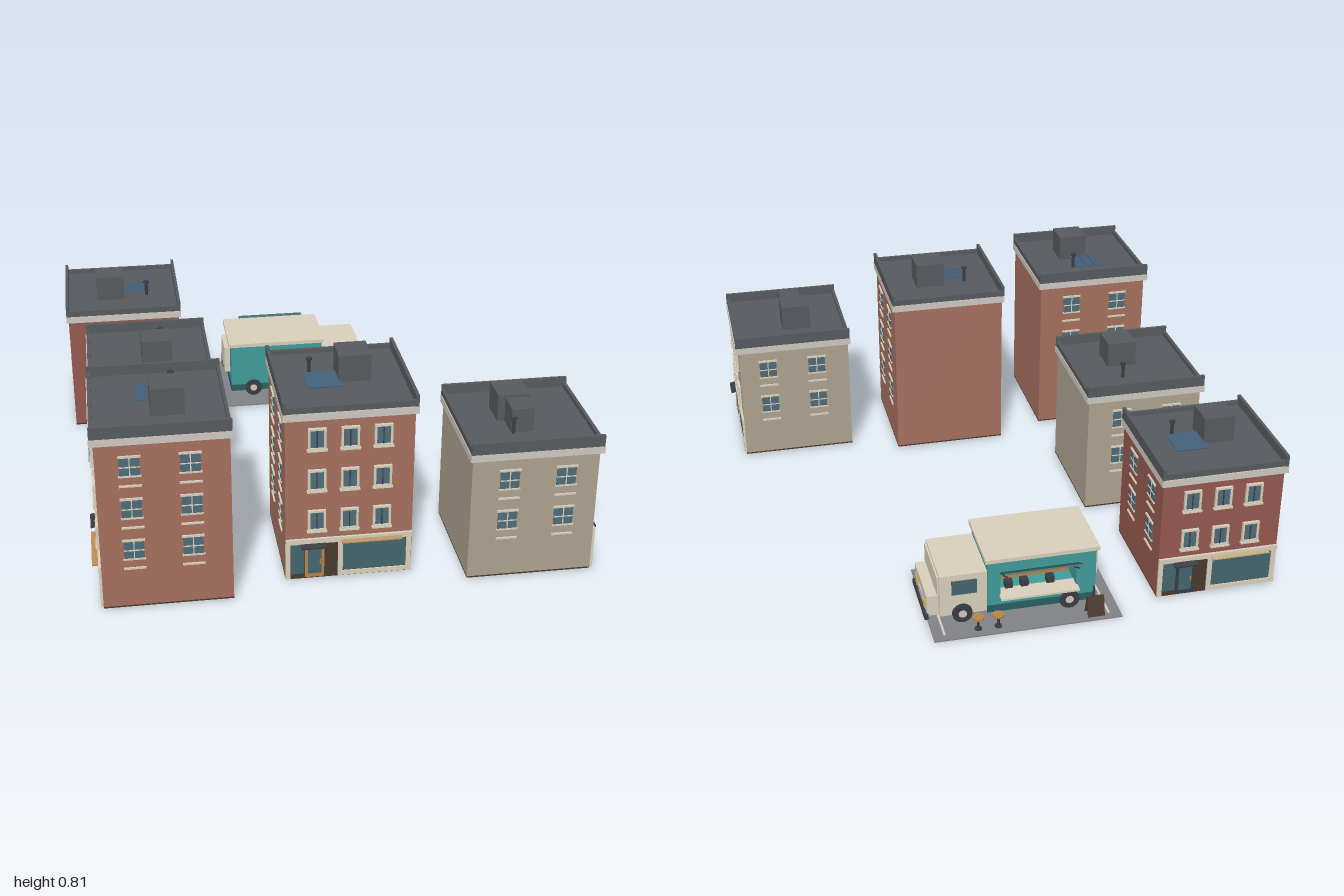
import * as THREE from 'three';

const mats = {};
const mat = (c) => (mats[c] ??= new THREE.MeshStandardMaterial({ color: c, flatShading: true }));
const CREAM = 0xd9d0bc, TRIM = 0xcfc8c0, ROOF = 0x565b5f, DARK = 0x3a3d40, GLASS = 0x4f6b7a,
  SHOP = 0x42666c, TEAL = 0x3f9c9a, DEEP = 0x2a5f60, WOOD = 0xb98448, BROWN = 0x4a3a2e;

// box given by its limits on each axis
function box(parent, name, color, x0, x1, y0, y1, z0, z1) {
  const m = new THREE.Mesh(new THREE.BoxGeometry(x1 - x0, y1 - y0, z1 - z0), mat(color));
  m.position.set((x0 + x1) / 2, (y0 + y1) / 2, (z0 + z1) / 2);
  m.name = name;
  parent.add(m);
  return m;
}

function cyl(parent, name, color, r, h, x, y, z, axis = 'y', sides = 16) {
  const m = new THREE.Mesh(new THREE.CylinderGeometry(r, r, h, sides), mat(color));
  if (axis === 'z') m.rotation.x = Math.PI / 2;
  if (axis === 'x') m.rotation.z = Math.PI / 2;
  m.position.set(x, y, z);
  m.name = name;
  parent.add(m);
  return m;
}

// upper window: projecting frame, two tall panes, sill
function frontWindow(x, y, z) {
  const g = new THREE.Group();
  g.name = 'frontWindow';
  box(g, 'pane', GLASS, -0.028, 0.028, -0.038, 0.038, 0, 0.005);
  for (const s of [-1, 1]) {
    box(g, 'jamb', CREAM, s * 0.029 - 0.004, s * 0.029 + 0.004, -0.04, 0.04, 0, 0.011);
    box(g, 'rail', CREAM, -0.033, 0.033, s * 0.039 - 0.004, s * 0.039 + 0.004, 0, 0.011);
  }
  box(g, 'mullion', DARK, -0.002, 0.002, -0.036, 0.036, 0, 0.008);
  box(g, 'sill', CREAM, -0.037, 0.037, -0.048, -0.041, 0, 0.015);
  g.position.set(x, y, z);
  return g;
}

// flat sash window on a side wall, with lintel and low sill band
function sideWindow(side, y, z) {
  const g = new THREE.Group();
  g.name = 'sideWindow';
  box(g, 'pane', GLASS, -0.036, 0.036, -0.038, 0.038, 0, 0.003);
  box(g, 'sashBar', CREAM, -0.036, 0.036, -0.005, -0.001, 0, 0.005);
  box(g, 'mullion', CREAM, -0.002, 0.002, -0.038, 0.038, 0, 0.005);
  box(g, 'lintel', CREAM, -0.04, 0.04, 0.034, 0.042, 0, 0.006);
  box(g, 'bottomRail', CREAM, -0.04, 0.04, -0.042, -0.036, 0, 0.006);
  box(g, 'sillBand', CREAM, -0.04, 0.04, -0.081, -0.074, 0, 0.006);
  g.rotation.y = side * Math.PI / 2;
  g.position.set(side * 0.235, y, z);
  return g;
}

// shop front built against the front wall
function shopFront(z, doorColor, awning) {
  const g = new THREE.Group();
  g.name = 'shopFront';
  box(g, 'backing', BROWN, -0.225, 0.225, 0.012, 0.165, 0, 0.003);
  box(g, 'fascia', CREAM, -0.235, 0.235, 0.158, 0.178, 0, 0.01);
  box(g, 'plinth', CREAM, -0.035, 0.235, 0.012, 0.03, 0, 0.008);
  for (const x of [-0.23, -0.035, 0.22]) box(g, 'pilaster', CREAM, x - 0.006, x + 0.012, 0.012, 0.16, 0, 0.009);
  box(g, 'shopGlass', SHOP, -0.022, 0.212, 0.033, 0.155, 0, 0.006);
  box(g, 'sideGlass', SHOP, -0.215, -0.165, 0.03, 0.155, 0, 0.006);
  box(g, 'doorFrame', doorColor, -0.163, -0.092, 0.014, 0.15, 0, 0.007);
  box(g, 'doorGlass', SHOP, -0.153, -0.102, 0.03, 0.14, 0, 0.009);
  cyl(g, 'doorHandle', WOOD, 0.003, 0.02, -0.107, 0.08, 0.011, 'y', 6);
  const c = box(g, 'doorCanopy', DARK, -0.18, -0.085, 0.152, 0.158, 0, 0.033);
  c.rotation.x = 0.25;
  if (awning) box(g, 'awning', awning, -0.03, 0.195, 0.163, 0.168, 0, 0.032);
  g.position.z = z;
  return g;
}

function building({ x, z, turn, wall, floors, awning, door = DARK, panels, vent }) {
  const g = new THREE.Group();
  g.name = 'building';
  const top = floors === 3 ? 0.67 : 0.5, D = 0.235, roof = top + 0.034;
  box(g, 'walls', wall, -D, D, 0.012, top, -D, D);
  box(g, 'base', BROWN, -D, D, 0.006, 0.012, -D, D);
  box(g, 'cornice', TRIM, -0.245, 0.245, top, top + 0.028, -0.245, 0.25);
  box(g, 'roof', ROOF, -0.235, 0.235, top + 0.028, roof, -0.235, 0.24);
  for (const s of [-1, 1]) {
    box(g, 'sideParapet', ROOF, s * 0.238 - 0.006, s * 0.238 + 0.006, top + 0.028, top + 0.073, -0.243, 0.248);
    const pz = s > 0 ? 0.24 : -0.236;
    box(g, 'endParapet', ROOF, -0.235, 0.235, top + 0.028, top + 0.052, pz - 0.006, pz + 0.006);
  }
  // windows
  for (let i = 0; i < floors; i++) {
    const y = 0.255 + i * 0.168;
    for (const wx of [-0.12, 0, 0.12]) g.add(frontWindow(wx, y, D));
    for (const s of [-1, 1]) for (const wz of [-0.095, 0.115]) g.add(sideWindow(s, y - 0.008, wz));
  }
  g.add(shopFront(D, door, awning));
  // rooftop
  box(g, 'stairHouse', ROOF, -0.01, 0.11, roof, top + 0.138, -0.09, 0.03);
  if (vent) box(g, 'ventHousing', ROOF, -0.105, -0.01, roof, top + 0.128, -0.063, 0.022);
  cyl(g, 'ventPipe', DARK, 0.007, 0.06, -0.107, roof + 0.03, -0.055, 'y', 8);
  cyl(g, 'ventCap', DARK, 0.012, 0.008, -0.107, roof + 0.061, -0.055, 'y', 8);
  if (panels) for (let i = 0; i < 3; i++) {
    const p = box(g, 'roofPanel', 0x41607a, -0.13, -0.003, roof + 0.006, roof + 0.01, -0.045 + i * 0.042, -0.01 + i * 0.042);
    p.rotation.x = 0.15;
  }
  g.position.set(x, 0, z);
  g.rotation.y = turn;
  return g;
}

function foodTruck() {
  const g = new THREE.Group();
  g.name = 'foodTruck';
  // body shell with a serving hatch on the -z side
  box(g, 'floor', TEAL, -0.25, 0.165, 0.035, 0.1, -0.9, -0.63);
  box(g, 'farWall', TEAL, -0.25, 0.165, 0.1, 0.25, -0.65, -0.63);
  box(g, 'hatchHeader', TEAL, -0.25, 0.165, 0.2, 0.25, -0.9, -0.65);
  box(g, 'rearPillar', TEAL, -0.25, -0.175, 0.1, 0.2, -0.9, -0.65);
  box(g, 'frontPillar', TEAL, 0.115, 0.165, 0.1, 0.2, -0.9, -0.65);
  box(g, 'interior', WOOD, -0.175, 0.115, 0.1, 0.2, -0.8, -0.65);
  box(g, 'truckRoof', CREAM, -0.26, 0.175, 0.25, 0.266, -0.91, -0.62);
  box(g, 'lowerBand', DEEP, -0.252, 0.166, 0.03, 0.06, -0.903, -0.627);
  box(g, 'counter', CREAM, -0.18, 0.12, 0.096, 0.104, -0.935, -0.86);
  for (const x of [-0.1, 0, 0.06]) box(g, 'countertopItem', DARK, x, x + 0.03, 0.104, 0.13, -0.87, -0.84);
  box(g, 'rearDoor', CREAM, -0.275, -0.25, 0.1, 0.22, -0.84, -0.69);
  const a = box(g, 'hatchAwning', DEEP, -0.18, 0.12, 0.221, 0.227, -0.985, -0.9);
  a.rotation.x = 0.53;
  for (const x of [-0.165, 0.105]) {
    const s = cyl(g, 'awningStrut', DARK, 0.003, 0.09, x, 0.205, -0.935, 'y', 6);
    s.rotation.x = -1.05;
  }
  // cab
  box(g, 'cab', CREAM, 0.165, 0.345, 0.035, 0.21, -0.895, -0.635);
  box(g, 'hood', CREAM, 0.345, 0.39, 0.035, 0.12, -0.88, -0.65);
  box(g, 'windscreen', SHOP, 0.344, 0.348, 0.13, 0.192, -0.875, -0.655);
  box(g, 'visor', CREAM, 0.344, 0.352, 0.125, 0.2, -0.885, -0.645);
  for (const z of [-0.896, -0.634]) box(g, 'cabWindow', SHOP, 0.205, 0.3, 0.125, 0.185, z - 0.003, z + 0.003);
  box(g, 'bumper', DARK, 0.385, 0.4, 0.025, 0.045, -0.89, -0.645);
  box(g, 'grille', TRIM, 0.389, 0.393, 0.05, 0.085, -0.8, -0.73);
  for (const z of [-0.84, -0.69]) box(g, 'headlight', 0xd9a650, 0.388, 0.395, 0.055, 0.08, z - 0.015, z + 0.015);
  for (const x of [-0.15, 0.26]) for (const z of [-0.89, -0.64]) {
    cyl(g, 'wheel', DARK, 0.038, 0.035, x, 0.043, z, 'z', 18);
    cyl(g, 'hub', TRIM, 0.016, 0.039, x, 0.043, z, 'z', 12);
  }
  // pavement with bay lines
  box(g, 'pavement', 0x808286, -0.33, 0.385, 0, 0.005, -1, -0.53);
  for (const x of [-0.285, 0.342]) box(g, 'bayLine', CREAM, x - 0.004, x + 0.004, 0.004, 0.007, -0.97, -0.57);
  // stools and menu board
  for (const x of [0.137, 0.213]) {
    cyl(g, 'stoolSeat', WOOD, 0.022, 0.008, x, 0.057, -0.96);
    cyl(g, 'stoolLeg', DARK, 0.005, 0.05, x, 0.03, -0.96, 'y', 8);
    cyl(g, 'stoolFoot', DARK, 0.014, 0.005, x, 0.008, -0.96);
  }
  for (const s of [-1, 1]) {
    const b = box(g, 'menuBoard', BROWN, -0.265, -0.2, 0.005, 0.085, -0.964, -0.96);
    b.position.z += s * 0.012;
    b.rotation.x = -s * 0.25;
  }
  cyl(g, 'signPost', DARK, 0.004, 0.125, -0.225, 0.067, -0.962, 'y', 6);
  return g;
}

export function createModel() {
  const root = new THREE.Group();
  root.name = 'cityBlock';
  const q = Math.PI / 2, brick = 0xa5705f, darkBrick = 0x94594f, stone = 0xada28e;
  const lots = [
    { x: -0.725, z: -0.68, turn: Math.PI, wall: darkBrick, floors: 2, awning: 0xc9b184, panels: true },
    { x: -0.64, z: -0.01, turn: -q, wall: stone, floors: 2, awning: 0x6f9a88 },
    { x: -0.64, z: 0.75, turn: -q, wall: brick, floors: 3, awning: 0xc08d55, panels: true },
    { x: 0.03, z: 0.66, turn: 0, wall: brick, floors: 3, awning: 0xc09a6a, door: WOOD, panels: true },
    { x: 0.695, z: 0.745, turn: q, wall: stone, floors: 2, vent: true },
  ];
  for (const lot of lots) root.add(building(lot));
  root.add(foodTruck());
  return root;
}
